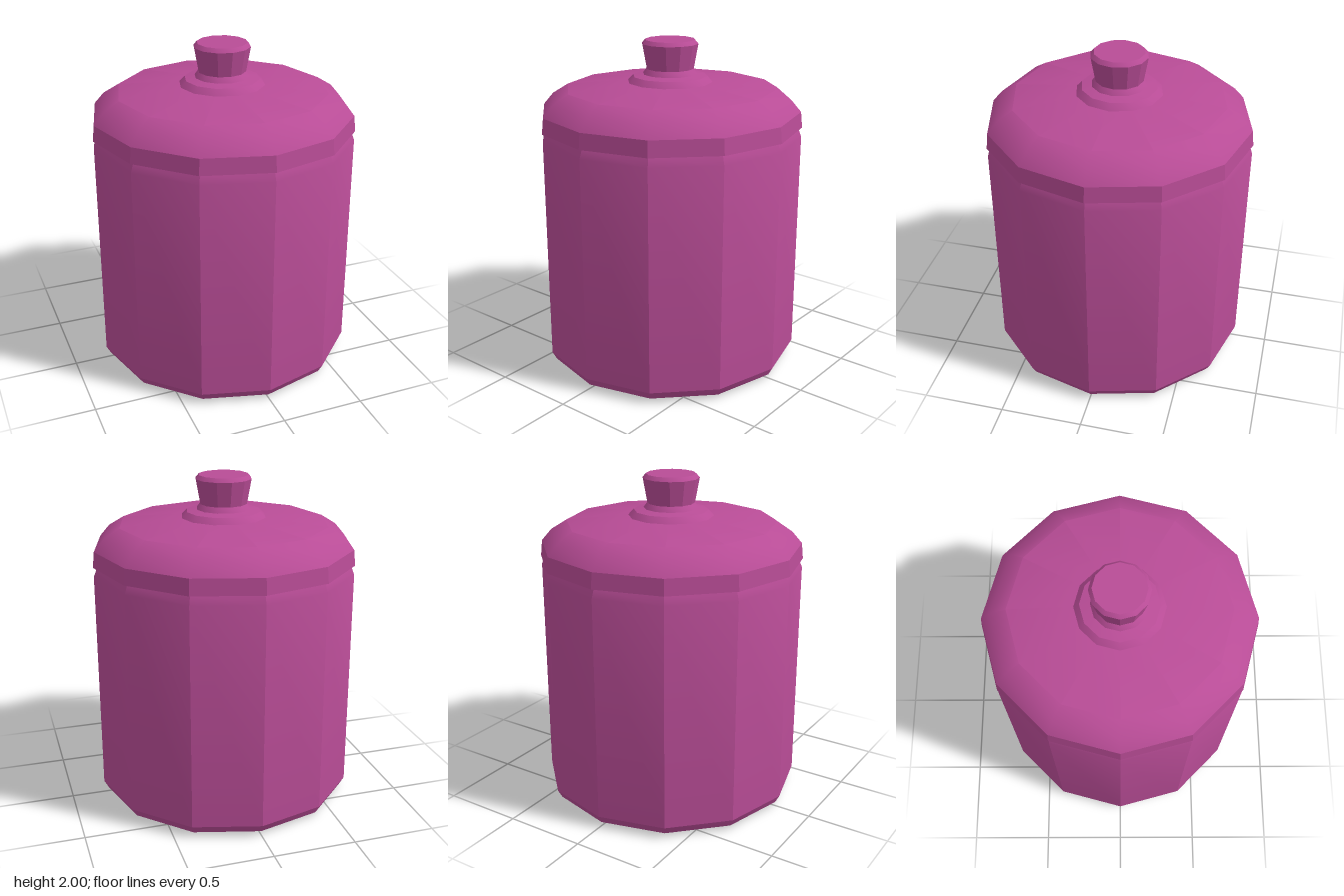
import * as THREE from 'three';
import { toCreasedNormals } from 'three/addons/utils/BufferGeometryUtils.js';

const SIDES = 12;

export function createModel() {
  const model = new THREE.Group();
  model.name = 'lidded jar';
  const material = new THREE.MeshStandardMaterial({ color: 0xb84c96, side: THREE.DoubleSide });

  // Twelve-sided turned part from [radius, height] pairs, bottom to top
  const turned = (name, profile) => {
    const points = profile.map(([r, y]) => new THREE.Vector2(r, y));
    const geometry = toCreasedNormals(new THREE.LatheGeometry(points, SIDES), 0.48);
    const mesh = new THREE.Mesh(geometry, material);
    mesh.name = name;
    model.add(mesh);
  };

  // Hollow body, open underneath, with a bevelled foot and a tapered neck
  turned('body', [[0.715, 0], [0.77, 0.025], [0.797, 0.075], [0.797, 1.435], [0.775, 1.49]]);

  // Domed lid with a small overhanging rim
  turned('lid', [[0.775, 1.49], [0.8, 1.49], [0.79, 1.585], [0.73, 1.655], [0.635, 1.714], [0.258, 1.75]]);

  // Knob on a stepped collar
  turned('knob', [
    [0.258, 1.75], [0.225, 1.785], [0.165, 1.797], [0.143, 1.828],
    [0.17, 1.977], [0.15, 2], [0, 2],
  ]);

  return model;
}
